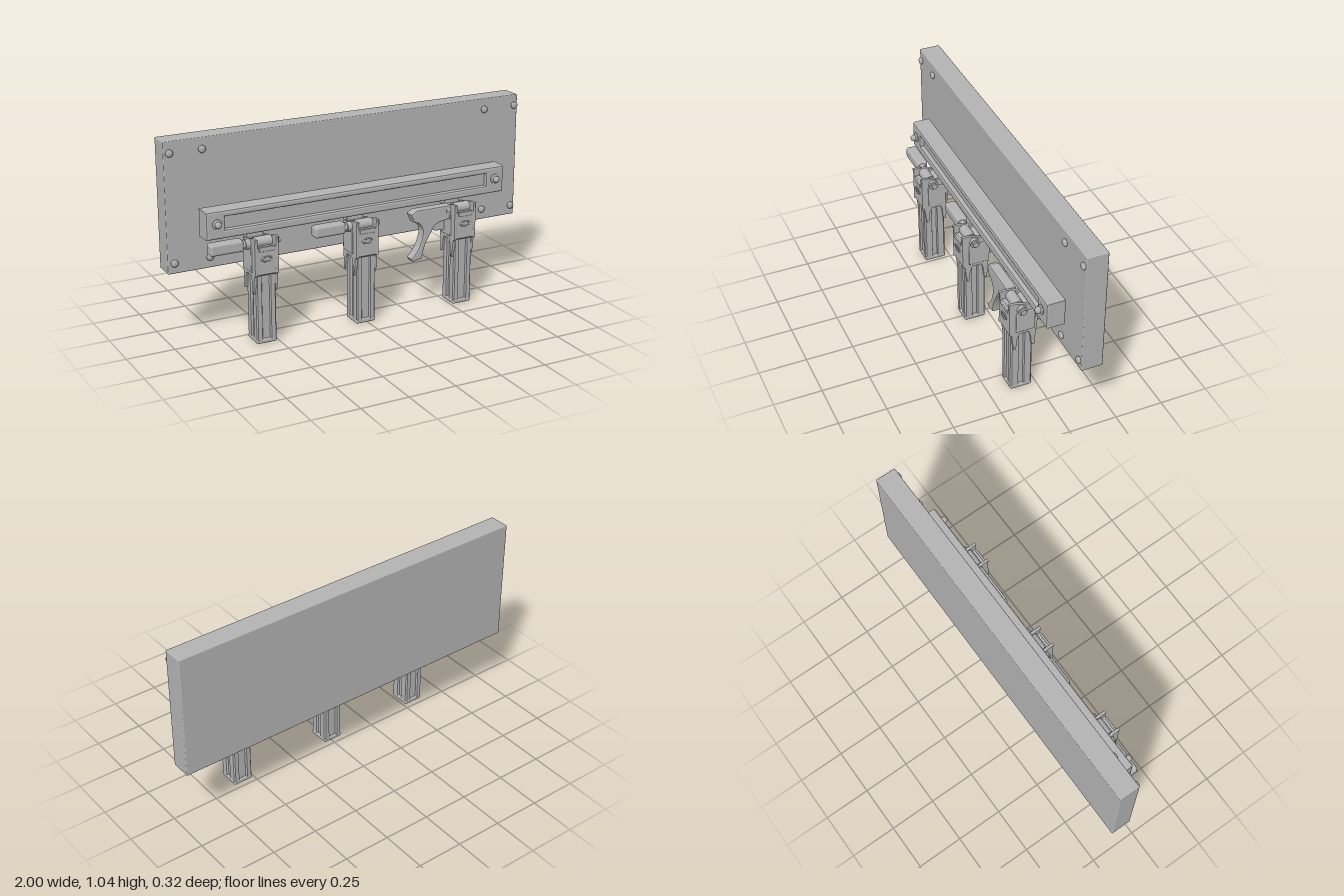
import * as THREE from 'three';
import { RoundedBoxGeometry } from 'three/addons/geometries/RoundedBoxGeometry.js';

export function createModel() {
  const root = new THREE.Group();
  root.name = 'toolRack';
  const grey = new THREE.MeshStandardMaterial({ color: 0xb4b4b4 });
  grey.name = 'plain grey';

  const add = (parent, name, geo, x = 0, y = 0, z = 0) => {
    const m = new THREE.Mesh(geo, grey);
    m.name = name;
    m.position.set(x, y, z);
    parent.add(m);
    return m;
  };
  // Box given by its limits, with softened edges
  const box = (parent, name, x0, x1, y0, y1, z0, z1, r = 0.006) => add(parent, name,
    new RoundedBoxGeometry(x1 - x0, y1 - y0, z1 - z0, 2, r), (x0 + x1) / 2, (y0 + y1) / 2, (z0 + z1) / 2);
  const shapeOf = pts => new THREE.Shape(pts.map(p => new THREE.Vector2(p[0], p[1])));
  // Extrusion with its bevel kept inside the given depth
  const extrude = (shape, depth, bevel = 0) => {
    const g = new THREE.ExtrudeGeometry(shape, {
      depth: depth - 2 * bevel, bevelEnabled: bevel > 0, bevelSize: bevel, bevelOffset: -bevel,
      bevelThickness: bevel, bevelSegments: 2, curveSegments: 10
    });
    return g.translate(0, 0, bevel);
  };
  // Profile in (z, y), extruded along x and centred
  const sideExtrude = (pts, width, bevel) => extrude(shapeOf(pts.map(([z, y]) => [-z, y])), width, bevel)
    .rotateY(Math.PI / 2).translate(-width / 2, 0, 0);
  const rod = (parent, name, x0, x1, y, z, r, sides = 16) => add(parent, name,
    new THREE.CylinderGeometry(r, r, x1 - x0, sides).rotateZ(Math.PI / 2), (x0 + x1) / 2, y, z);
  // Domed screw head facing the front
  const screw = (parent, name, x, y, z, r, h) => add(parent, name, new THREE.LatheGeometry(
    [[r * 0.75, 0], [r, h * 0.3], [r, h * 0.65], [r * 0.65, h * 0.95], [0, h]]
      .map(p => new THREE.Vector2(...p)), 12).rotateX(Math.PI / 2), x, y, z);

  // Back panel and its screws
  box(root, 'backPanel', -1, 1, 0.377, 1.045, -0.157, -0.046, 0.005);
  for (const [x, y] of [[-0.972, 0.988], [-0.805, 0.988], [0.79, 0.988], [0.978, 0.988],
    [-0.967, 0.432], [-0.782, 0.435], [0.79, 0.435], [0.975, 0.43]]) {
    screw(root, 'panelScrew', x, y, -0.048, 0.019, 0.018);
  }

  // Rail with a long recessed slot
  const rail = new THREE.Group();
  rail.name = 'rail';
  root.add(rail);
  const rect = (x0, x1, y0, y1) => shapeOf([[x0, y0], [x1, y0], [x1, y1], [x0, y1]]);
  const face = rect(-0.84, 0.85, 0.558, 0.7);
  face.holes.push(rect(-0.74, 0.745, 0.602, 0.668));
  add(rail, 'railFrame', extrude(face, 0.1, 0.01), 0, 0, -0.031);
  box(rail, 'slotFloor', -0.75, 0.755, 0.595, 0.675, -0.028, 0.045, 0.003);
  for (const x of [-0.785, 0.795]) {
    screw(rail, 'railWasher', x, 0.637, 0.066, 0.025, 0.012);
    screw(rail, 'railScrew', x, 0.637, 0.075, 0.017, 0.027);
  }

  // Cheek of the clamp: two prongs reach down beside the grip
  const cheek = [[0.16, 0.556], [0.155, 0.535], [0.155, 0.367], [0.142, 0.36], [0.137, 0.31], [0.128, 0.267],
    [0.118, 0.27], [0.112, 0.33], [0.1, 0.36], [0.052, 0.36], [0.042, 0.335], [0.036, 0.275], [0.02, 0.268],
    [0.014, 0.345], [0.006, 0.42], [0.006, 0.47], [0.014, 0.53], [0.07, 0.54], [0.12, 0.555]];
  const body = [[0.154, 0.51], [0.154, 0.372], [0.14, 0.362], [0.03, 0.362], [0.008, 0.42],
    [0.008, 0.47], [0.016, 0.525], [0.05, 0.525], [0.075, 0.51]];
  // Grip section with a groove on each of its four sides
  const quarter = [[0.025, 0.057], [0.047, 0.057], [0.053, 0.05], [0.053, 0.016], [0.043, 0.012]];
  const inner = [0.02, 0.048];
  const upperRight = [inner, ...quarter];
  const half = [...upperRight, ...upperRight.slice().reverse().map(([x, z]) => [x, -z])];
  const section = [...half, ...half.slice().reverse().map(([x, z]) => [-x, z])];

  function hangingTool(x) {
    const g = new THREE.Group();
    g.name = 'hangingTool';
    g.position.x = x;
    root.add(g);
    // Grooved grip and its end cap
    add(g, 'grip', extrude(shapeOf(section), 0.37).rotateX(-Math.PI / 2), 0, 0.015, 0.083);
    box(g, 'gripCap', -0.054, 0.054, 0.002, 0.026, 0.026, 0.14, 0.008);
    // Clamp around the grip
    add(g, 'clampBody', sideExtrude(body, 0.115, 0.003));
    for (const s of [-1, 1]) {
      add(g, 'clampCheek', sideExtrude(cheek, 0.016, 0.003), s * 0.056);
      box(g, 'clampFlange', s * 0.061 - 0.009, s * 0.061 + 0.009, 0.378, 0.5, 0.02, 0.12, 0.005);
    }
    // Oval eyelet on the clamp front
    add(g, 'clampEyelet', new THREE.TorusGeometry(0.022, 0.005, 6, 20).scale(1.15, 0.6, 1), 0, 0.45, 0.154);
    box(g, 'clampLip', -0.042, 0.042, 0.49, 0.515, 0.145, 0.157, 0.004);
    // Hinge pin with a nut on its free end
    rod(g, 'hingePin', -0.085, 0.085, 0.525, 0.095, 0.018);
    rod(g, 'hingeBarrel', -0.045, 0.045, 0.525, 0.1, 0.028);
    rod(g, 'hingeNut', 0.066, 0.083, 0.517, 0.093, 0.026, 8);
    rod(g, 'hingeNutEnd', 0.08, 0.095, 0.517, 0.093, 0.016, 8);
    rod(g, 'hingeCollar', -0.09, -0.066, 0.52, 0.093, 0.026);
    // Hanger and stand-off behind the clamp
    box(g, 'hanger', -0.045, 0.045, 0.497, 0.562, -0.026, 0.02, 0.004);
    box(g, 'standOff', -0.045, 0.045, 0.402, 0.46, -0.026, 0.015, 0.004);
    screw(g, 'standOffFoot', 0, 0.43, -0.048, 0.021, 0.025);
    return g;
  }

  // Two tools with a straight lever
  for (const [x, reach] of [[-0.565, 0.275], [-0.01, 0.27]]) {
    const g = hangingTool(x);
    box(g, 'lever', -reach, -0.1, 0.49, 0.55, 0.055, 0.115, 0.014);
    rod(g, 'leverNeck', -0.11, -0.06, 0.52, 0.09, 0.022);
  }

  // Third tool with a curved handle
  const curved = hangingTool(0.565);
  const handle = new THREE.Shape();
  handle.moveTo(-0.3, 0.53);
  handle.lineTo(-0.265, 0.548);
  handle.lineTo(-0.065, 0.548);
  handle.lineTo(-0.055, 0.5);
  handle.quadraticCurveTo(-0.07, 0.47, -0.1, 0.467);
  handle.quadraticCurveTo(-0.16, 0.465, -0.175, 0.42);
  handle.quadraticCurveTo(-0.225, 0.35, -0.23, 0.282);
  handle.lineTo(-0.285, 0.272);
  handle.lineTo(-0.295, 0.288);
  handle.quadraticCurveTo(-0.23, 0.35, -0.227, 0.43);
  handle.quadraticCurveTo(-0.235, 0.475, -0.28, 0.485);
  handle.closePath();
  add(curved, 'curvedHandle', extrude(handle, 0.055, 0.008), 0, 0, 0.06);
  add(curved, 'handleGuard', extrude(shapeOf([[-0.165, 0.475], [-0.16, 0.42], [-0.12, 0.4],
    [-0.05, 0.395], [-0.05, 0.475]]), 0.03, 0.004), 0, 0, 0.03);

  return root;
}
